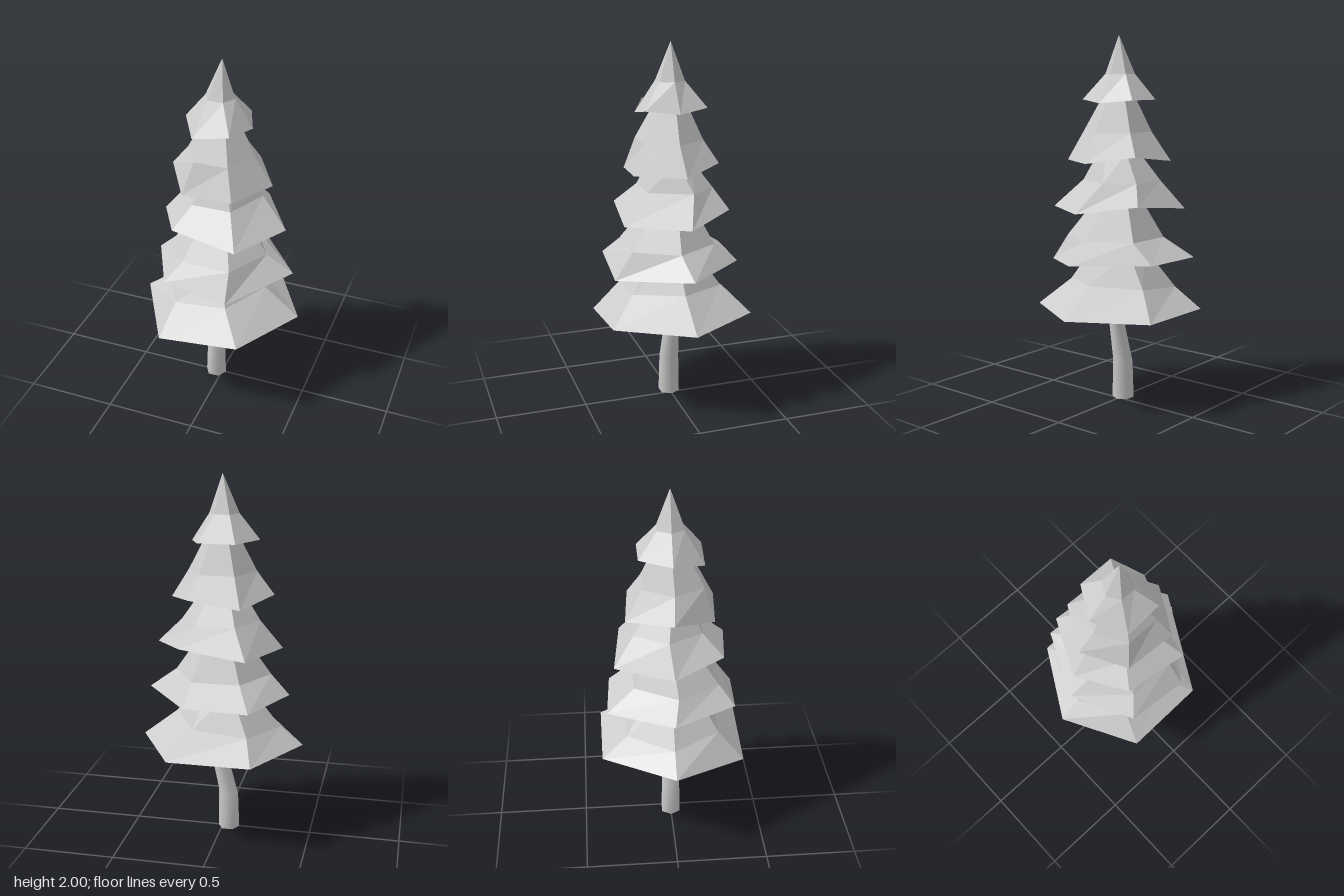
import * as THREE from 'three';
import { toCreasedNormals } from 'three/addons/utils/BufferGeometryUtils.js';

const SIDES = 6;
const V = (x, y, z) => new THREE.Vector3(x, y, z);

// Hexagonal ring, starting at +x and turning to +z
function hexRing(r, y, x = 0, z = 0) {
  return Array.from({ length: SIDES }, (_, i) => {
    const a = (i / SIDES) * Math.PI * 2;
    return V(x + r * Math.cos(a), y, z + r * Math.sin(a));
  });
}

// Joins successive rings with triangles, skipping those that collapse
function loft(rings) {
  const pos = [];
  const tri = (a, b, c) => {
    const n = b.clone().sub(a).cross(c.clone().sub(a));
    if (n.length() > 1e-7) pos.push(...a.toArray(), ...b.toArray(), ...c.toArray());
  };
  for (let k = 0; k < rings.length - 1; k++) {
    const lo = rings[k], hi = rings[k + 1];
    for (let i = 0; i < SIDES; i++) {
      const j = (i + 1) % SIDES;
      tri(lo[i], hi[i], lo[j]);
      tri(lo[j], hi[i], hi[j]);
    }
  }
  const g = new THREE.BufferGeometry();
  g.setAttribute('position', new THREE.Float32BufferAttribute(pos, 3));
  g.computeVertexNormals();
  return g;
}

// Each tier: reach of the skirt to right and left, its depth, height and the
// corners that hang or lift; then the bend half way up and the narrow top
const TIERS = [
  { right: 0.45, left: 0.45, depth: 0.39, y: 0.53, lift: { 2: -0.05 },
    midR: 0.29, midY: 0.66, midX: -0.035, midTilt: 0.1, topR: 0.14, topY: 0.86 },
  { right: 0.41, left: 0.37, depth: 0.345, half: 0.175, shift: -0.03, slant: 0.01, y: 0.815,
    lift: { 1: -0.04, 2: 0.01 }, midR: 0.265, midY: 0.92, midZ: 0.025, topR: 0.12, topY: 1.13 },
  { right: 0.36, left: 0.33, depth: 0.29, half: 0.18, slant: 0.02, y: 1.08,
    lift: { 2: 0.04, 5: 0.04 }, midR: 0.21, midY: 1.23, midZ: -0.02, kink: -0.04, topR: 0.11, topY: 1.38 },
  { right: 0.28, left: 0.28, depth: 0.233, slant: 0.011, y: 1.335,
    lift: { 2: -0.02, 3: 0.035, 5: 0.035 }, midR: 0.185, midY: 1.49, midZ: 0.01, topR: 0.075, topY: 1.7 },
  { right: 0.165, left: 0.2, depth: 0.17, half: 0.1, y: 1.66,
    lift: { 0: -0.015, 2: -0.04 }, midR: 0.08, midY: 1.795, midX: -0.01, topR: 0, topY: 2 },
];

function makeTier({ right, left, depth, half = right / 2, shift = 0, slant = 0, y, lift,
  midR, midY, midX = 0, midZ = 0, midTilt = 0, kink = 0, topR, topY }) {
  // Uneven skirt corners
  const corner = (sx, sz) => V(sx * half + shift, y, sz * depth + sx * slant);
  const skirt = [V(right, y, 0), corner(1, 1), corner(-1, 1), V(-left, y, 0), corner(-1, -1), corner(1, -1)];
  for (const i in lift) skirt[i].y += lift[i];

  // Recessed underside
  const floorY = y + 0.04;
  const inner = skirt.map((p) => V(p.x * 0.8, floorY, p.z * 0.8));

  const mid = hexRing(midR, midY, midX, midZ);
  mid.forEach((p) => { p.y += p.x * midTilt; });
  mid[0].z += kink;

  return loft([hexRing(0, floorY), inner, skirt, mid, hexRing(topR, topY), hexRing(0, topY)]);
}

// Crooked six-sided trunk: each level has a centre, a radius and a tilt
function makeTrunk() {
  const levels = [
    { x: -0.037, y: 0, r: 0.06, tilt: 0 },
    { x: -0.034, y: 0.215, r: 0.055, tilt: 0.2 },
    { x: 0.022, y: 0.45, r: 0.04, tilt: -0.6 },
    { x: 0.017, y: 0.6, r: 0.036, tilt: 0 },
  ];
  const rings = levels.map(({ x, y, r, tilt }) => {
    const ring = hexRing(r, y, x);
    ring.forEach((p) => { p.y += (p.x - x) * tilt; });
    return ring;
  });
  const cap = ({ x, y }) => hexRing(0, y, x);
  return toCreasedNormals(loft([cap(levels[0]), ...rings, cap(levels[3])]), 1.15);
}

export function createModel() {
  const model = new THREE.Group();
  model.name = 'pineTree';

  const trunk = new THREE.Mesh(makeTrunk(), new THREE.MeshStandardMaterial({ color: 0xcccccc }));
  trunk.name = 'trunk';
  model.add(trunk);

  const foliage = new THREE.Group();
  foliage.name = 'foliage';
  const leafMaterial = new THREE.MeshStandardMaterial({ color: 0xcccccc, flatShading: true });
  TIERS.forEach((tier, i) => {
    const mesh = new THREE.Mesh(makeTier(tier), leafMaterial);
    mesh.name = `branchTier${i + 1}`;
    foliage.add(mesh);
  });
  model.add(foliage);
  return model;
}
